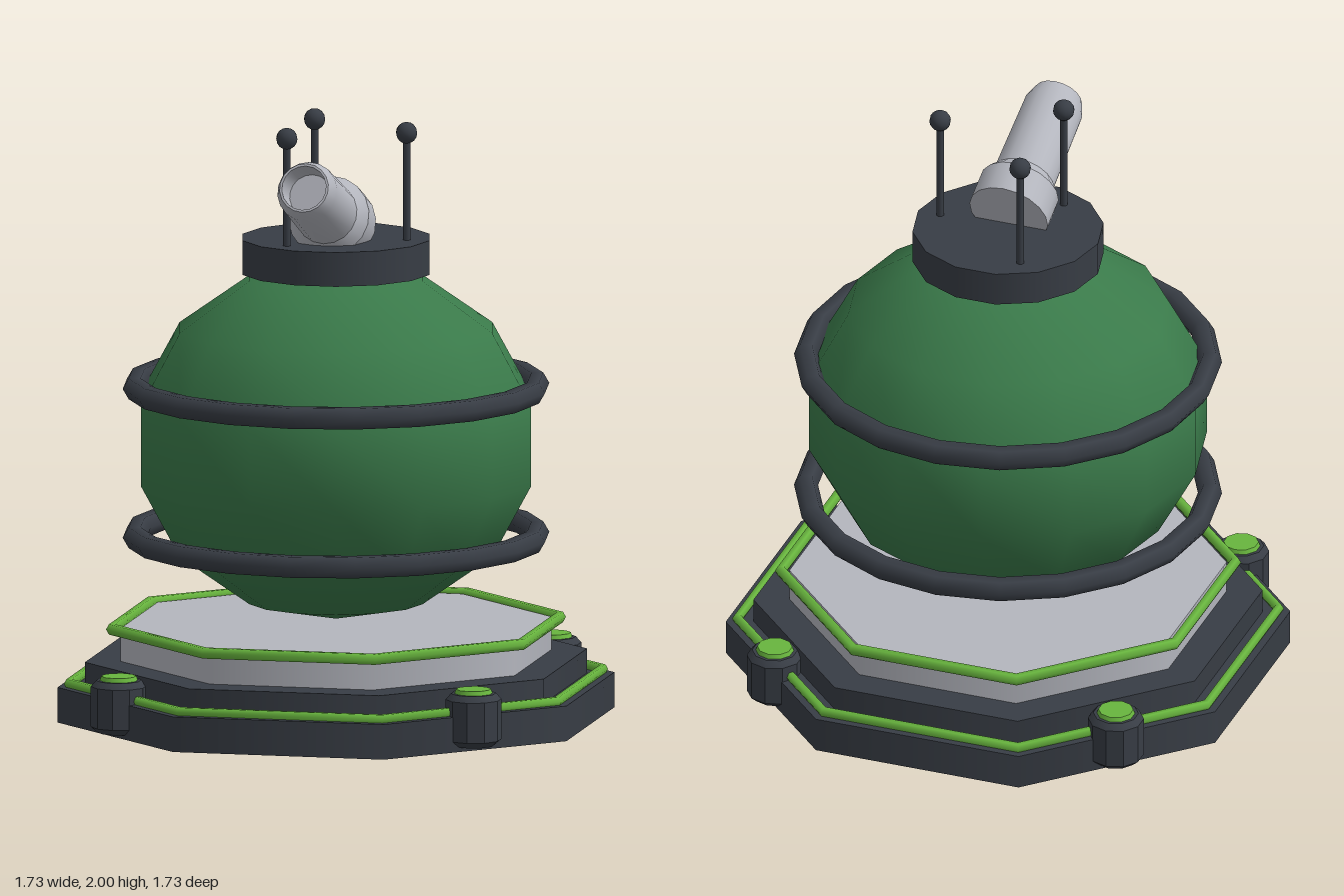
import * as THREE from 'three';
import { toCreasedNormals } from 'three/addons/utils/BufferGeometryUtils.js';

const material = (name, color) => {
  const m = new THREE.MeshStandardMaterial({ color });
  m.name = name;
  return m;
};

export function createModel() {
  const model = new THREE.Group();
  model.name = 'sphericalTankTurret';

  const dark = material('darkMetal', 0x383d45);
  const grey = material('paleMetal', 0xb4b6be);
  const green = material('tankGreen', 0x3a7a4a);
  const lime = material('limeTrim', 0x68b53e);

  const add = (name, geometry, mat, x = 0, y = 0, z = 0, parent = model) => {
    const mesh = new THREE.Mesh(geometry, mat);
    mesh.name = name;
    mesh.position.set(x, y, z);
    parent.add(mesh);
    return mesh;
  };
  const lathe = (points, sides) => toCreasedNormals(
    new THREE.LatheGeometry(points.map(([r, y]) => new THREE.Vector2(r, y)), sides), 0.5);

  // Octagons are sized by the distance from centre to flat side
  const toCorner = 1 / Math.cos(Math.PI / 8);
  const octagon = (name, apothem, y0, y1, mat) => {
    const r = apothem * toCorner;
    add(name, new THREE.CylinderGeometry(r, r, y1 - y0, 8).rotateY(Math.PI / 8), mat, 0, (y0 + y1) / 2);
  };
  const ring = (name, radius, tube, sides, y, mat, turn = 0) =>
    add(name, new THREE.TorusGeometry(radius, tube, 6, sides).rotateX(Math.PI / 2).rotateY(turn), mat, 0, y);

  // Stepped base with lime trim
  octagon('basePlate', 0.865, 0, 0.118, dark);
  octagon('baseStep', 0.78, 0.118, 0.2, dark);
  octagon('pedestal', 0.67, 0.2, 0.31, grey);
  ring('baseTrim', 0.829 * toCorner, 0.018, 8, 0.129, lime, Math.PI / 8);
  ring('pedestalTrim', 0.696 * toCorner, 0.02, 8, 0.308, lime, Math.PI / 8);

  // Corner posts with lime caps
  const post = lathe([[0, 0.015], [0.07, 0.015], [0.093, 0.035], [0.093, 0.17], [0.075, 0.19], [0, 0.19]], 10);
  for (const x of [-0.603, 0.603]) for (const z of [-0.597, 0.597]) {
    const corner = new THREE.Group();
    corner.name = 'cornerPost';
    corner.position.set(x, 0, z);
    add('postBody', post, dark, 0, 0, 0, corner);
    add('postCap', new THREE.CylinderGeometry(0.058, 0.066, 0.02, 10), lime, 0, 0.194, 0, corner);
    model.add(corner);
  }

  // Tank and its two hoops
  add('tank', new THREE.SphereGeometry(0.68, 14, 7).scale(1, 0.885, 1), green, 0, 0.925, 0);
  ring('lowerHoop', 0.67, 0.04, 20, 0.605, dark);
  ring('upperHoop', 0.67, 0.04, 20, 1.105, dark);

  // Top cap
  add('topCap', new THREE.CylinderGeometry(0.318, 0.318, 0.115, 14).rotateY(Math.PI / 2), dark, 0, 1.547, 0);

  // Three antennas evenly spaced on the cap
  for (let i = 0; i < 3; i++) {
    const a = i * Math.PI * 2 / 3;
    const antenna = new THREE.Group();
    antenna.name = 'antenna';
    antenna.position.set(0.24 * Math.cos(a), 0, 0.24 * Math.sin(a));
    add('antennaRod', new THREE.CylinderGeometry(0.013, 0.013, 0.37, 8), dark, 0, 1.78, 0, antenna);
    add('antennaBall', new THREE.SphereGeometry(0.036, 12, 8), dark, 0, 1.964, 0, antenna);
    model.add(antenna);
  }

  // Tilted nozzle with collar, bevelled lip and hollow mouth
  const nozzle = add('nozzle', lathe([
    [0, 0], [0.137, 0], [0.137, 0.112], [0.105, 0.155], [0.101, 0.46],
    [0.083, 0.512], [0.075, 0.512], [0.072, 0.4], [0, 0.4],
  ], 18), grey, 0, 1.65, 0.006);
  nozzle.rotation.x = Math.PI * 67.5 / 180;

  return model;
}
